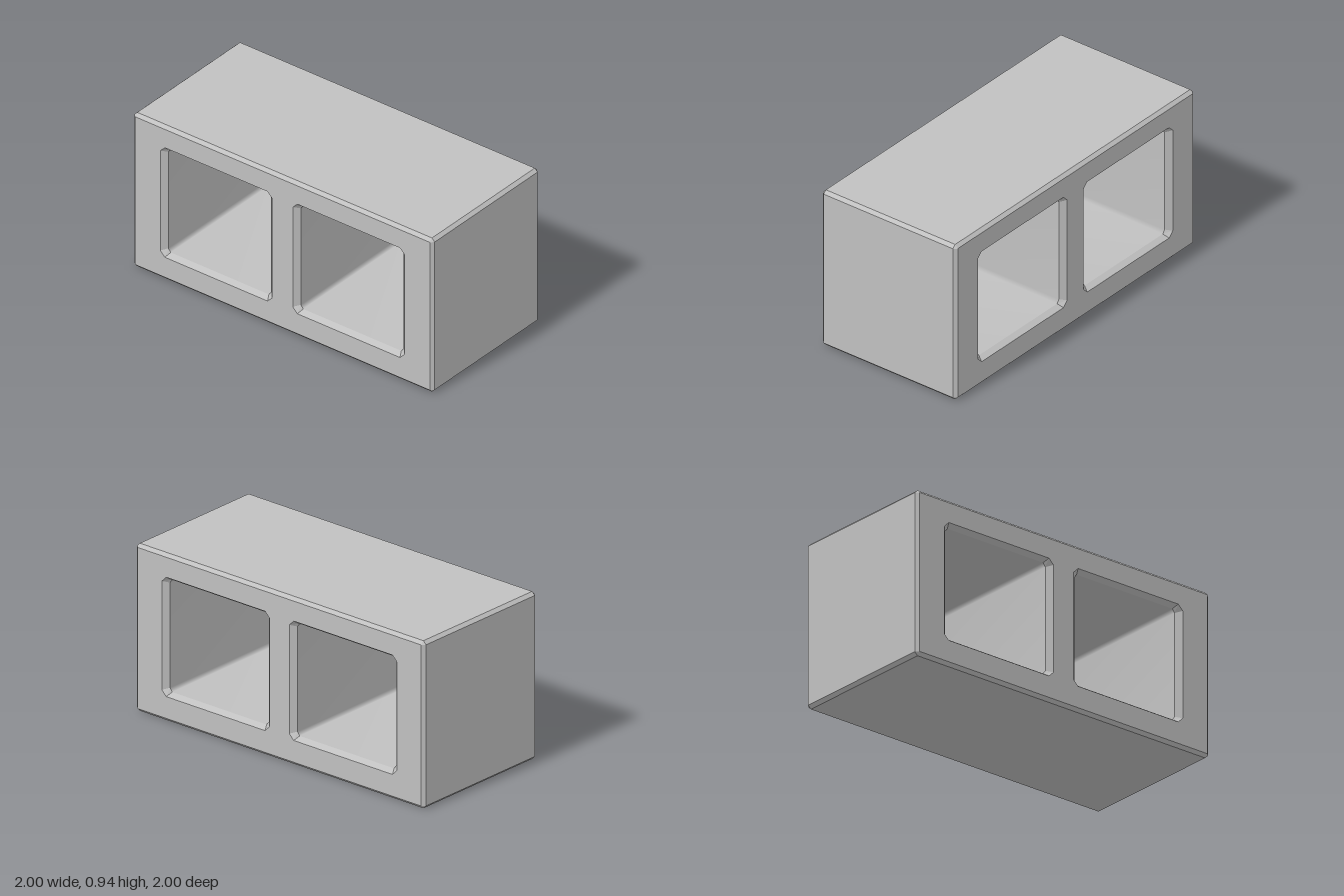
import * as THREE from 'three';

const L = 0.987, W = 0.445, H = 0.94;   // half length, half depth, full height
const EDGE = 0.018, HOLE_EDGE = 0.03;   // chamfer sizes

// Counter-clockwise rectangle with cut corners
function octagon(x0, x1, y0, y1, cx, cy = cx) {
  return [
    [x0 + cx, y0], [x1 - cx, y0], [x1, y0 + cy], [x1, y1 - cy],
    [x1 - cx, y1], [x0 + cx, y1], [x0, y1 - cy], [x0, y0 + cy],
  ];
}

// Skin between rings [points, z], listed from back to front
function loft(rings, inward, smooth) {
  const pos = [], index = [], n = rings[0][0].length;
  for (const [pts, z] of rings) for (const [x, y] of pts) pos.push(x, y, z);
  for (let i = 0; i < rings.length - 1; i++) {
    for (let j = 0; j < n; j++) {
      const a = i * n + j, b = i * n + (j + 1) % n, c = b + n, d = a + n;
      if (inward) index.push(a, c, b, a, d, c);
      else index.push(a, b, c, a, c, d);
    }
  }
  let g = new THREE.BufferGeometry();
  g.setAttribute('position', new THREE.Float32BufferAttribute(pos, 3));
  g.setIndex(index);
  if (!smooth) g = g.toNonIndexed();
  g.computeVertexNormals();
  return g;
}

const toVectors = (pts) => pts.map(([x, y]) => new THREE.Vector2(x, y));

export function createModel() {
  const model = new THREE.Group();
  model.name = 'concreteBlock';
  const block = new THREE.Group();
  block.name = 'block';
  block.rotation.y = -Math.PI / 4;
  model.add(block);

  const concrete = new THREE.MeshStandardMaterial({ color: 0xc0c0c0 });
  concrete.name = 'concrete';
  const add = (name, geometry) => {
    const mesh = new THREE.Mesh(geometry, concrete);
    mesh.name = name;
    block.add(mesh);
    return mesh;
  };

  // Outer walls with chamfered edges
  const full = octagon(-L, L, 0, H, EDGE);
  const inset = octagon(-L + EDGE, L - EDGE, EDGE, H - EDGE, 0.001);
  add('outerWalls', loft([[inset, -W], [full, -W + EDGE], [full, W - EDGE], [inset, W]], false, false));

  // Two hollow cores running through the depth
  const faceShape = new THREE.Shape(toVectors(inset));
  for (const [side, x0, x1] of [['right', -0.803, -0.068], ['left', 0.068, 0.803]]) {
    const mouth = octagon(x0, x1, 0.14, 0.81, 0.03);
    const core = octagon(x0 + HOLE_EDGE, x1 - HOLE_EDGE, 0.16, 0.79, 0.015, 0.02);
    const depth = W - HOLE_EDGE;
    add(side + 'Core', loft([[core, -depth], [core, depth]], true, true));
    add(side + 'FrontRim', loft([[core, depth], [mouth, W]], true, false));
    add(side + 'BackRim', loft([[mouth, -W], [core, -depth]], true, false));
    faceShape.holes.push(new THREE.Path(toVectors(mouth)));
  }

  // Pierced faces at front and back
  const faceGeometry = new THREE.ShapeGeometry(faceShape);
  add('frontFace', faceGeometry).position.z = W;
  const back = add('backFace', faceGeometry);
  back.position.z = -W;
  back.rotation.y = Math.PI;

  // Plain top and bottom are part of the outer walls
  return model;
}
